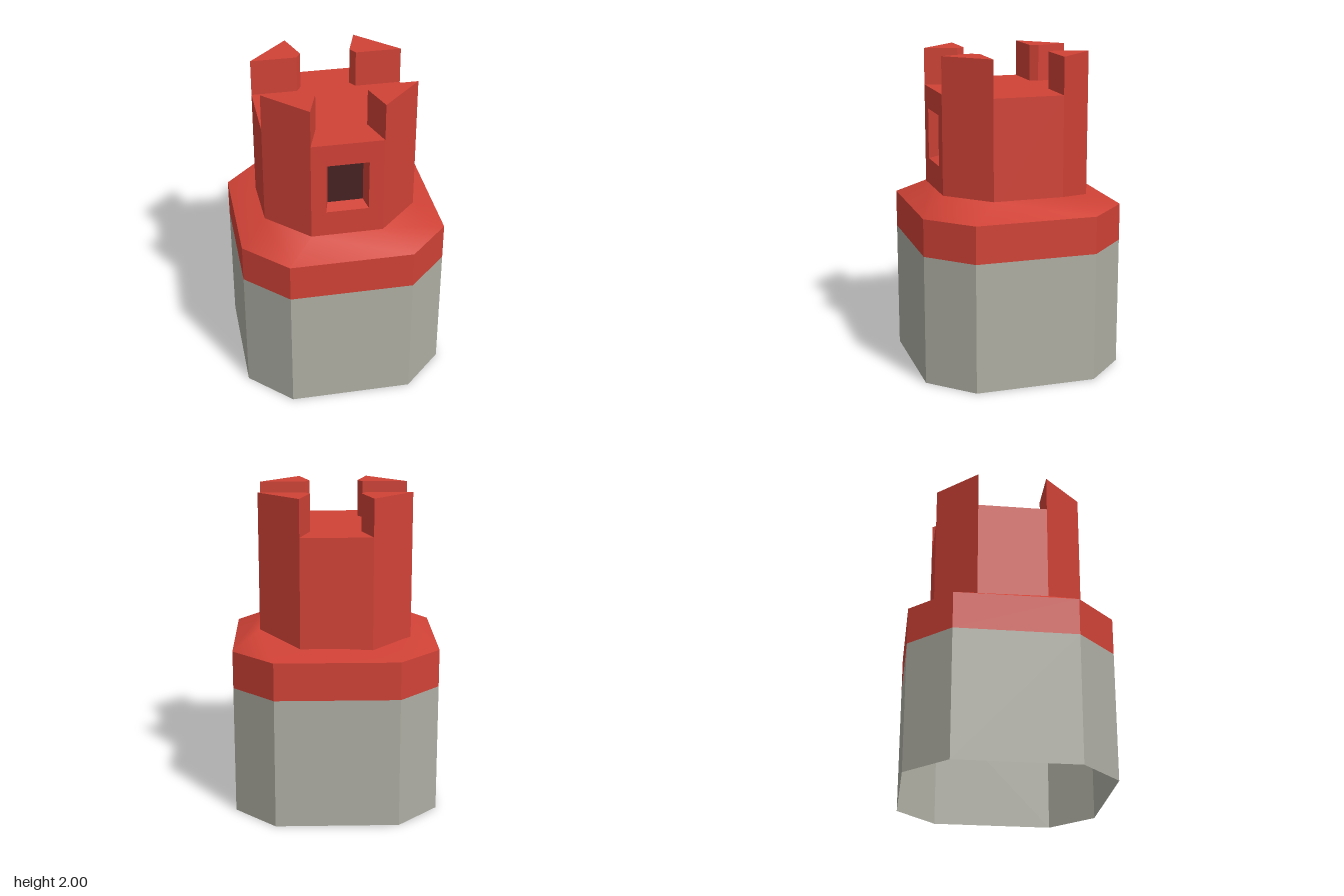
import * as THREE from 'three';

const flat = (name, color) => new THREE.MeshStandardMaterial({ name, color, side: THREE.DoubleSide });

// Chamfered square, half width h and half side c, running from +x towards +z
const octagon = (h, c) => [[h, -c], [h, c], [c, h], [-c, h], [-h, c], [-h, -c], [-c, -h], [c, -h]];
const atHeight = (pts, y) => pts.map(([x, z]) => [x, y, z]);
const shapeOf = pts => new THREE.Shape(pts.map(p => new THREE.Vector2(...p)));

function geometryFrom(points, index) {
  const g = new THREE.BufferGeometry();
  g.setAttribute('position', new THREE.Float32BufferAttribute(points.flat(), 3));
  if (index) g.setIndex(index);
  g.computeVertexNormals();
  return g;
}

// Flat quads joining two closed loops; one side may be left out
function walls(low, high, skip = -1) {
  const pts = [];
  low.forEach((a, i) => {
    if (i === skip) return;
    const j = (i + 1) % low.length;
    pts.push(a, high[i], low[j], low[j], high[i], high[j]);
  });
  return geometryFrom(pts);
}

export function createModel() {
  const red = flat('red', 0xd04236);
  const grey = flat('stone grey', 0xaeaea4);
  const dark = flat('dark window', 0x472223);
  const group = new THREE.Group();
  const add = (name, geo, mat) => {
    const m = new THREE.Mesh(geo, mat);
    m.name = name;
    group.add(m);
    return m;
  };

  const base = octagon(0.635, 0.38), tower = octagon(0.47, 0.22);
  const bandY = 0.815, eaveY = 1.05, collarY = 1.145, deckY = 1.77, topY = 2;

  // Open-bottomed base with a painted band
  add('baseWalls', walls(atHeight(base, 0), atHeight(base, bandY)), grey);
  add('baseBand', walls(atHeight(base, bandY), atHeight(base, eaveY)), red);

  // Smooth sloping collar: vertices 0-7 inner, 8-15 outer; lower fans at the back
  const index = [];
  for (let i = 0; i < 4; i++) index.push(i, i + 1, i + 8, i + 1, i + 9, i + 8);
  index.push(4, 13, 12, 4, 14, 13, 4, 0, 14, 0, 15, 14, 0, 8, 15);
  add('collar', geometryFrom([...atHeight(tower, collarY), ...atHeight(base, eaveY)], index), red);

  // Tower walls, sunk slightly into the collar, with the front side left for the window
  add('towerWalls', walls(atHeight(tower, 1.07), atHeight(tower, deckY), 2), red);

  const rect = (w, y0, y1) => [[-w, y0], [w, y0], [w, y1], [-w, y1]];
  const opening = rect(0.13, 1.31, 1.63), pane = rect(0.108, 1.332, 1.608);
  const front = shapeOf(rect(0.22, 1.07, deckY));
  front.holes.push(shapeOf(opening));
  add('frontWall', new THREE.ShapeGeometry(front), red).position.z = 0.47;

  // Recessed window
  const atDepth = (pts, z) => pts.map(([x, y]) => [x, y, z]);
  add('windowFrame', walls(atDepth(opening, 0.47), atDepth(pane, 0.395)), red);
  add('windowPane', new THREE.ShapeGeometry(shapeOf(pane)), dark).position.z = 0.395;

  // Roof deck
  add('deck', new THREE.ShapeGeometry(shapeOf(tower)).rotateX(-Math.PI / 2), red).position.y = deckY;

  // Corner battlements
  const merlon = [[0.22, 0.47], [0.47, 0.22], [0.185, 0.22], [0.155, 0.27]];
  for (const sx of [1, -1]) for (const sz of [1, -1]) {
    const shape = shapeOf(merlon.map(([x, z]) => [x * sx, z * sz]));
    const geo = new THREE.ExtrudeGeometry(shape, { depth: topY - deckY, bevelEnabled: false });
    add('battlement', geo.rotateX(-Math.PI / 2), red).position.y = deckY;
  }
  return group;
}
